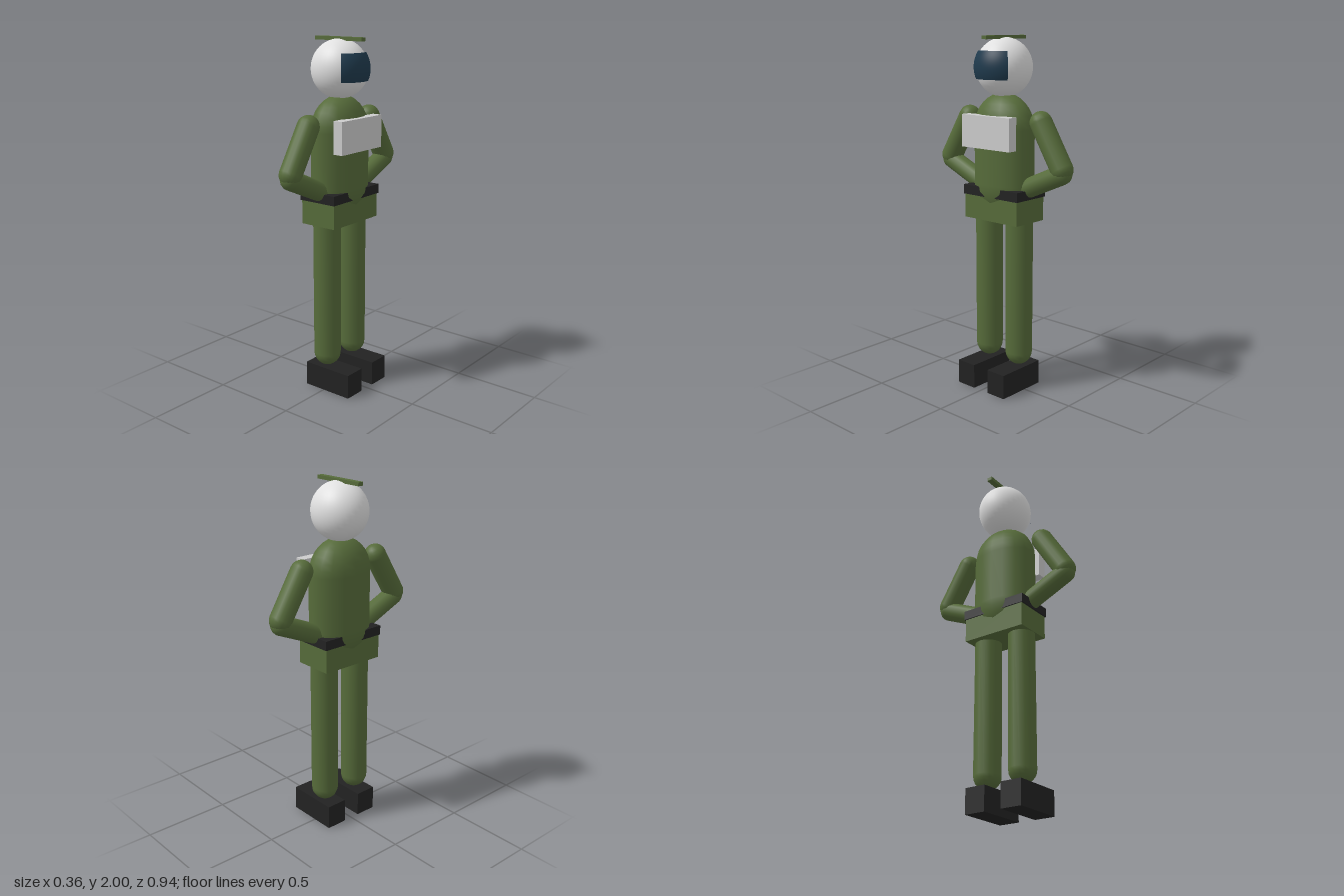
import * as THREE from 'three';

const mat = (name, color) => {
  const m = new THREE.MeshStandardMaterial({ color });
  m.name = name;
  return m;
};

export function createModel() {
  const root = new THREE.Group();
  root.name = 'helmetedFigure';
  const green = mat('olive green', 0x566b3a);
  const black = mat('black', 0x222222);
  const white = mat('helmet white', 0xe0e0e0);
  const grey = mat('light grey', 0xcccccc);
  const glass = mat('visor blue', 0x1f3a4d);
  const cx = -0.02; // body axis; the figure looks along +x

  const add = (name, geometry, material, x, y, z) => {
    const m = new THREE.Mesh(geometry, material);
    m.name = name;
    m.position.set(x, y, z);
    root.add(m);
    return m;
  };

  // Box given by its limits on each axis
  const box = (name, material, [x0, x1], [y0, y1], [z0, z1]) =>
    add(name, new THREE.BoxGeometry(x1 - x0, y1 - y0, z1 - z0), material,
      (x0 + x1) / 2, (y0 + y1) / 2, (z0 + z1) / 2);

  // Capsule whose cap centres sit on two points
  const limb = (name, r, a, b) => {
    const dir = b.clone().sub(a);
    const mid = a.clone().add(b).multiplyScalar(0.5);
    const m = add(name, new THREE.CapsuleGeometry(r, dir.length(), 6, 16), green, mid.x, mid.y, mid.z);
    m.quaternion.setFromUnitVectors(new THREE.Vector3(0, 1, 0), dir.normalize());
  };

  // Helmet, visor patch and crest
  add('helmet', new THREE.SphereGeometry(0.161, 32, 24), white, cx, 1.83, 0).scale.z = 0.955;
  add('visor', new THREE.SphereGeometry(0.167, 24, 12, Math.PI - 0.85, 1.7, 1.0, 0.95), glass, cx, 1.83, 0);
  box('crest', green, [-0.18, 0.14], [1.98, 2.0], [-0.0165, 0.0165]);

  // Torso: capsule flattened front to back
  add('torso', new THREE.CapsuleGeometry(0.192, 0.31, 8, 16), green, cx, 1.345, 0).scale.x = 0.705;
  box('chestPack', grey, [0.078, 0.136], [1.395, 1.575], [-0.174, 0.174]);
  box('belt', black, [-0.138, 0.101], [1.12, 1.173], [-0.2, 0.2]);
  box('pelvis', green, [-0.132, 0.095], [0.985, 1.12], [-0.193, 0.193]);

  // Arms with hands on hips, legs and boots
  for (const [side, s] of [['left', -1], ['right', 1]]) {
    const p = (y, z) => new THREE.Vector3(cx, y, s * z);
    limb(side + 'UpperArm', 0.062, p(1.547, 0.264), p(1.31, 0.409));
    limb(side + 'Forearm', 0.055, p(1.283, 0.41), p(1.18, 0.175));
    limb(side + 'Leg', 0.077, p(0.217, 0.114), p(1.0, 0.114));
    const z = [0.052, 0.176].map((v) => v * s).sort((a, b) => a - b);
    box(side + 'Boot', black, [-0.127, 0.18], [0, 0.14], z);
  }
  return root;
}
